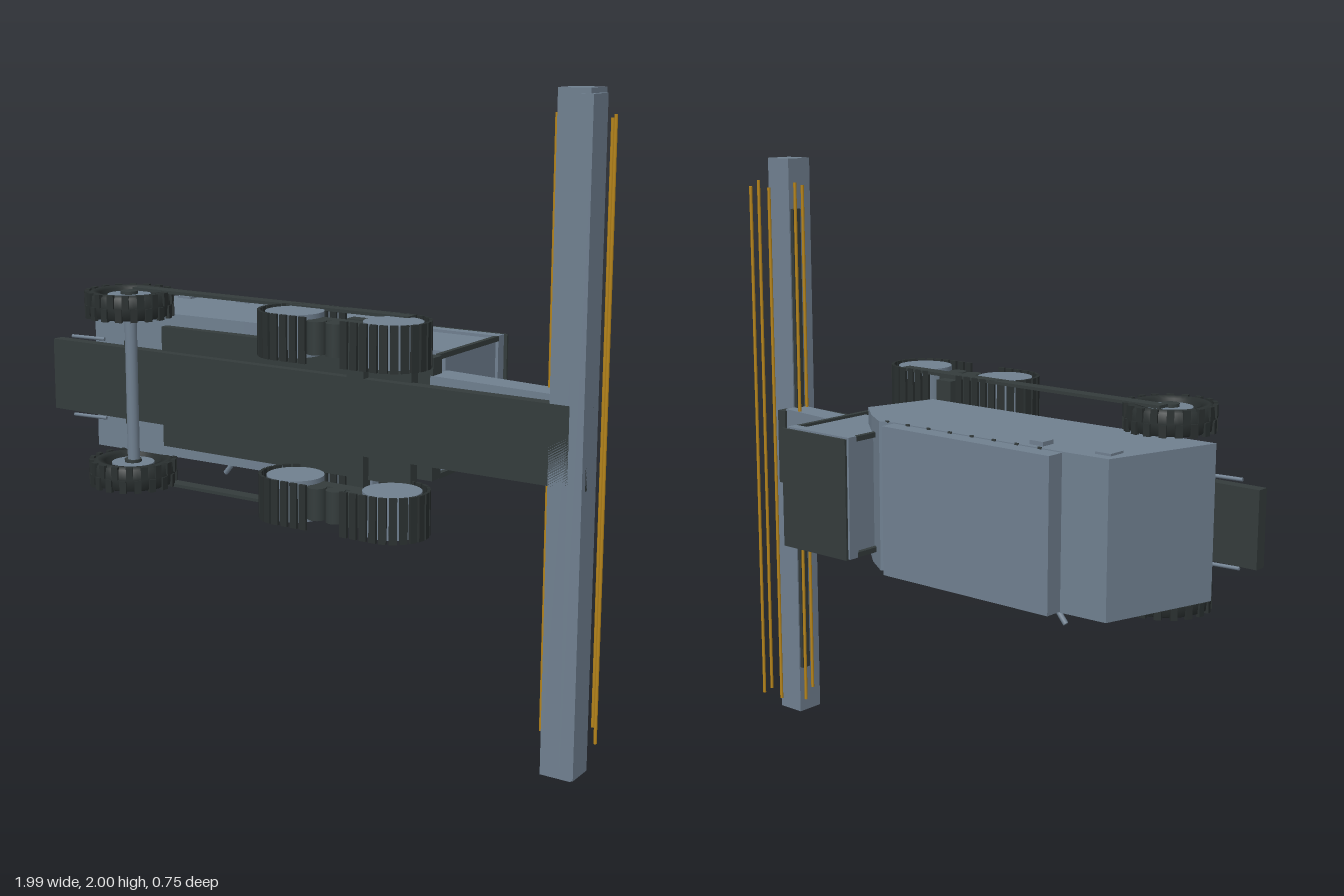
import * as THREE from 'three';

const mat = (name, color, side = THREE.FrontSide) => {
  const m = new THREE.MeshStandardMaterial({ color, side });
  m.name = name;
  return m;
};

export function createModel() {
  const grey = mat('slate grey', 0x708090);
  const dark = mat('charcoal', 0x343c3c);
  const rubber = mat('rubber black', 0x2a3030);
  const gold = mat('reel gold', 0xb8861b);

  // Built as an upright harvester (x forward, y up, z across), then laid on its side.
  const body = new THREE.Group();
  body.name = 'harvester';

  const add = (name, geo, material, x = 0, y = 0, z = 0, parent = body) => {
    const m = new THREE.Mesh(geo, material);
    m.name = name;
    m.position.set(x, y, z);
    parent.add(m);
    return m;
  };
  // Box given by its limits on each axis
  const box = (name, material, x0, x1, y0, y1, z0, z1, parent = body) =>
    add(name, new THREE.BoxGeometry(x1 - x0, y1 - y0, z1 - z0), material,
      (x0 + x1) / 2, (y0 + y1) / 2, (z0 + z1) / 2, parent);
  // Cylinder lying across the machine
  const across = (name, material, r, width, x, y, z, sides = 32, parent = body) =>
    add(name, new THREE.CylinderGeometry(r, r, width, sides).rotateX(Math.PI / 2), material, x, y, z, parent);
  // Side profile extruded across the full width
  const slab = (name, material, pts, half) => {
    const s = new THREE.Shape(pts.map(p => new THREE.Vector2(...p)));
    return add(name, new THREE.ExtrudeGeometry(s, { depth: half * 2, bevelEnabled: false }), material, 0, 0, -half);
  };
  const rod = (name, material, a, b, r) => {
    const A = new THREE.Vector3(...a), B = new THREE.Vector3(...b);
    const m = add(name, new THREE.CylinderGeometry(r, r, A.distanceTo(B), 8), material);
    m.position.copy(A).add(B).multiplyScalar(0.5);
    m.quaternion.setFromUnitVectors(new THREE.Vector3(0, 1, 0), B.sub(A).normalize());
    return m;
  };

  // Hull and grain tank
  slab('hull', grey, [[-0.85, -0.14], [-0.24, -0.125], [0.24, -0.12], [0.305, 0.12], [0.21, 0.205],
    [0.12, 0.265], [0.07, 0.25], [-0.58, 0.245], [-0.74, 0.238]], 0.24);
  box('grainTank', grey, -0.58, 0.07, 0.23, 0.305, -0.237, 0.237);

  // Chassis
  box('chassisBeam', dark, -0.995, 0.99, -0.19, -0.15, -0.12, 0.12);
  box('chassisDeck', dark, -0.55, 0.4, -0.16, -0.122, -0.2, 0.2);
  for (const s of [-1, 1]) {
    add('sideRail', new THREE.BoxGeometry(1.05, 0.045, 0.01), dark, -0.12, -0.165, s * 0.32);
    rod('rearHandle', grey, [-0.92, -0.178, s * 0.135], [-0.79, -0.165, s * 0.135], 0.006);
    add('rearBracket', new THREE.BoxGeometry(0.025, 0.03, 0.02), dark, -0.685, -0.16, s * 0.13);
  }

  // Service hatches and rivets on the left-hand wall
  for (const s of [-1, 1]) {
    add('rearHatch', new THREE.BoxGeometry(0.055, 0.06, 0.009), grey, -0.695, 0.175, s * 0.2425);
    add('sideHatch', new THREE.BoxGeometry(0.05, 0.05, 0.02), grey, -0.47, 0.2, s * 0.243);
    for (let i = 0; i < 8; i++)
      add('rivet', new THREE.BoxGeometry(0.012, 0.006, 0.006), dark, -0.5 + i * 0.085, 0.247 + i * 0.001, s * 0.24);
  }

  // Side step and support pole
  box('sideStep', grey, -0.18, -0.07, -0.1, -0.04, -0.31, -0.24);
  rod('sidePole', grey, [-0.4, 0.085, -0.24], [-0.48, 0.085, -0.335], 0.009);
  rod('sideBrace', grey, [-0.47, 0.085, -0.24], [-0.42, 0.085, -0.27], 0.009);

  // Cab
  box('cabBody', grey, 0.19, 0.41, 0.025, 0.305, -0.188, 0.188);
  box('cabRoof', grey, 0.165, 0.435, 0.318, 0.355, -0.195, 0.195);
  box('roofPlate', dark, 0.16, 0.44, 0.368, 0.376, -0.193, 0.193);
  box('roofMount', dark, 0.26, 0.34, 0.35, 0.37, -0.05, 0.05);
  box('cabFloor', dark, 0.22, 0.44, -0.1, -0.048, -0.19, 0.19);
  box('cabPedestal', dark, 0.3, 0.39, -0.05, 0.03, -0.15, 0.15);
  box('windscreen', grey, 0.41, 0.425, 0.0, 0.32, -0.178, 0.178);
  for (const s of [-1, 1]) for (const x of [0.172, 0.428])
    add('cabPillar', new THREE.BoxGeometry(0.016, 0.37, 0.016), dark, x, 0.135, s * 0.186);

  // Feeder house
  slab('feederHouse', grey, [[0.43, -0.1], [0.875, -0.14], [0.875, -0.055], [0.43, 0.0]], 0.136);
  box('feederHinge', dark, 0.87, 0.905, -0.12, -0.045, -0.13, 0.13);

  // Header with cutter tray
  box('headerTrough', grey, 0.872, 0.972, -0.19, -0.09, -1, 1);
  box('cutterTray', grey, 0.945, 0.99, -0.212, -0.12, -0.985, 0.985);
  box('headerBackBar', dark, 0.859, 0.873, -0.13, -0.095, -0.83, 0.83);

  // Reel bars in a ring
  for (let i = 0; i < 6; i++) {
    const a = i * Math.PI / 3;
    across('reelBar', gold, 0.0055, i % 3 ? 1.82 : 1.85, 0.895 + 0.09 * Math.cos(a), -0.055 + 0.09 * Math.sin(a), 0, 8);
  }

  // Rear axle and wheels
  across('rearAxle', grey, 0.02, 0.5, -0.625, -0.225, 0, 16);
  const tireProfile = [[0.093, -0.036], [0.118, -0.042], [0.136, -0.034], [0.139, 0], [0.136, 0.034],
    [0.118, 0.042], [0.093, 0.036], [0.093, -0.036]].map(p => new THREE.Vector2(...p));
  for (const s of [-1, 1]) {
    const wheel = new THREE.Group();
    wheel.name = 'rearWheel';
    wheel.position.set(-0.628, -0.225, s * 0.28);
    body.add(wheel);
    add('tire', new THREE.LatheGeometry(tireProfile, 40).rotateX(Math.PI / 2), rubber, 0, 0, 0, wheel);
    across('rim', grey, 0.07, 0.06, 0, 0, 0, 32, wheel);
    across('hub', dark, 0.028, 0.08, 0, 0, 0, 20, wheel);
    for (let i = 0; i < 18; i++) {
      const a = i * Math.PI / 9;
      for (const t of [-1, 1]) {
        const b = a + t * 0.08;
        const lug = add('tireLug', new THREE.BoxGeometry(0.014, 0.022, 0.042), rubber,
          0.137 * Math.cos(b), 0.137 * Math.sin(b), t * 0.022, wheel);
        lug.rotation.z = b;
      }
    }
  }

  // Track units
  for (const s of [-1, 1]) {
    const track = new THREE.Group();
    track.name = 'trackUnit';
    track.position.set(0.22, -0.255, s * 0.255);
    body.add(track);
    const shoe = (x, y, a) => {
      const m = add('trackShoe', new THREE.BoxGeometry(0.01, 0.024, 0.14), rubber, x, y, 0, track);
      m.rotation.z = a;
    };
    for (const e of [-1, 1]) {
      across('trackWheel', grey, 0.09, 0.13, e * 0.175, 0, 0, 36, track);
      // Shoes curve round the outer half, then run flat towards the middle
      for (let i = 0; i <= 11; i++) {
        const a = -Math.PI / 2 + i * Math.PI / 11;
        shoe(e * (0.175 + 0.109 * Math.cos(a)), 0.109 * Math.sin(a), e * a);
      }
      for (const t of [-1, 1]) for (let i = 1; i <= 3; i++)
        shoe(e * (0.175 - i * 0.034), t * 0.109, Math.PI / 2);
    }
    for (const x of [-0.067, 0, 0.067]) across('roller', dark, 0.03, 0.1, x, -0.042, 0, 20, track);
    box('rollerFrame', dark, -0.09, 0.09, -0.02, 0.025, -0.05, 0.05, track);
    box('trackStrut', dark, -0.006, 0.006, 0, 0.1, -0.03, 0.03, track);
  }
  // Cross axles carrying the tracks
  box('trackCrossbeam', dark, 0.19, 0.25, -0.19, -0.15, -0.3, 0.3);

  // Lay the machine on its side
  body.rotation.x = -Math.PI / 2;
  body.position.y = 1;
  const root = new THREE.Group();
  root.name = 'model';
  root.add(body);
  return root;
}
